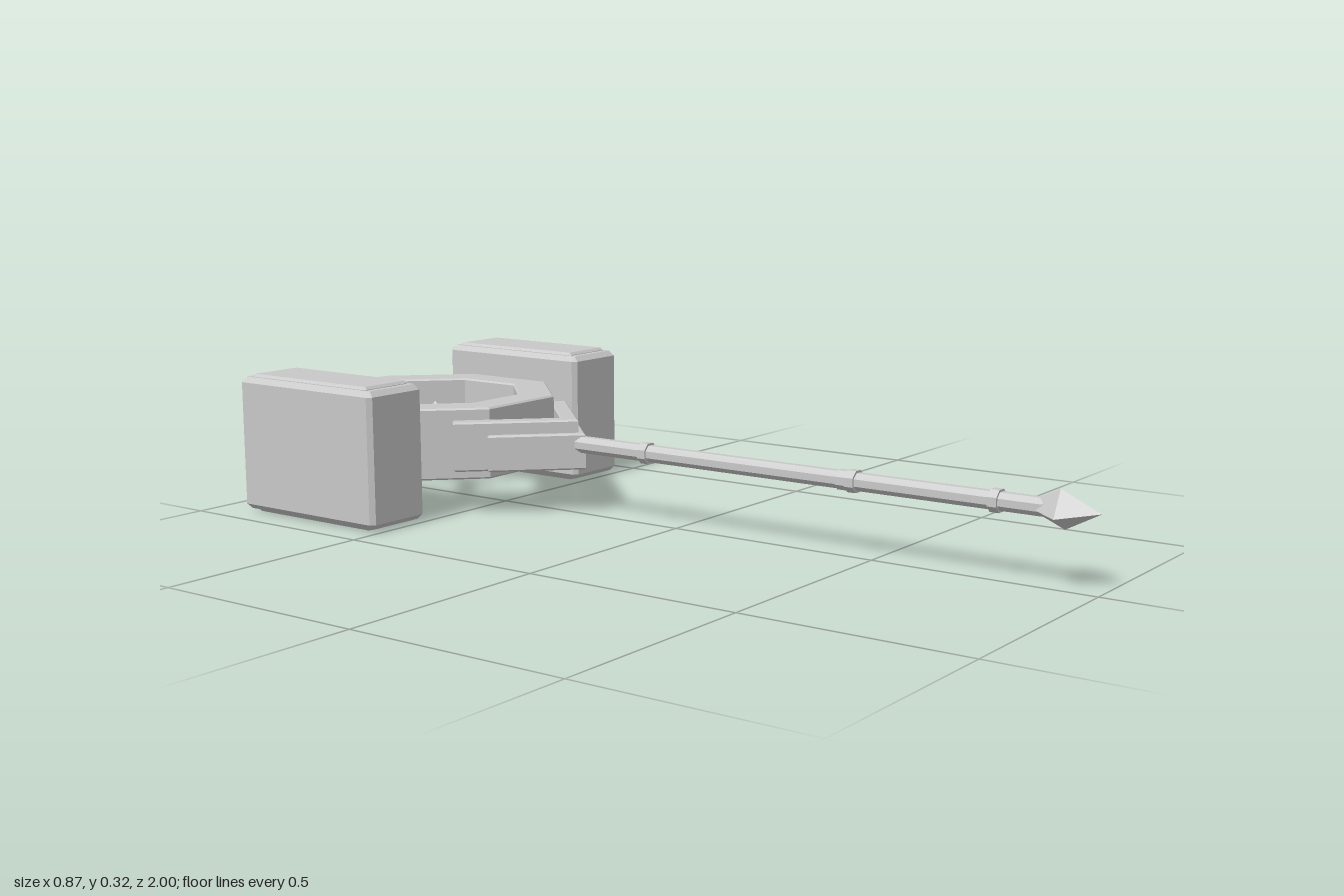
import * as THREE from 'three';

const AXIS_Y = 0.162;
const RING_Z = -0.722;

// Plan outline of [x, z] points, extruded from y0 to y1 with chamfered rims
function slab(points, y0, y1, bevel = 0.004, hole = null) {
  const toPath = (pts) => pts.map(([x, z]) => new THREE.Vector2(x, -z)).reverse();
  const shape = new THREE.Shape(toPath(points));
  if (hole) shape.holes.push(new THREE.Path(toPath(hole)));
  const g = new THREE.ExtrudeGeometry(shape, {
    depth: y1 - y0 - 2 * bevel, bevelEnabled: true, bevelSegments: 1,
    bevelSize: bevel, bevelThickness: bevel, bevelOffset: -bevel,
  });
  return g.rotateX(-Math.PI / 2).translate(0, y0 + bevel, 0);
}

// Octagon with flat sides on the axes
function octagon(apothem, zc) {
  const r = apothem / Math.cos(Math.PI / 8);
  return Array.from({ length: 8 }, (_, i) => {
    const a = Math.PI / 8 + i * Math.PI / 4;
    return [r * Math.cos(a), zc + r * Math.sin(a)];
  });
}

// Rectangle with cut corners
function cutRect(w, d, c, zc) {
  const x = w / 2, z = d / 2;
  return [[x - c, z], [x, z - c], [x, c - z], [x - c, -z], [c - x, -z], [-x, c - z], [-x, z - c], [c - x, z]]
    .map(([px, pz]) => [px, pz + zc]);
}

// Chevron with its point facing +z and 45 degree arms
function chevron(apex, halfWidth, thickness) {
  const t = thickness * Math.SQRT2, e = t / 2;
  return [
    [0, apex], [halfWidth, apex - halfWidth], [halfWidth - e, apex - halfWidth - e],
    [0, apex - t], [e - halfWidth, apex - halfWidth - e], [-halfWidth, apex - halfWidth],
  ];
}

export function createModel() {
  const model = new THREE.Group();
  model.name = 'warHammer';
  const steel = new THREE.MeshStandardMaterial({ color: 0xc8c8c8, flatShading: true });
  steel.name = 'grey steel';

  const add = (name, geometry, parent = model) => {
    const mesh = new THREE.Mesh(geometry, steel);
    mesh.name = name;
    parent.add(mesh);
    return mesh;
  };
  // Eight-sided rod along z between two depths, flat side up
  const rod = (name, z0, z1, radius) =>
    add(name, new THREE.CylinderGeometry(radius, radius, z1 - z0, 8)
      .rotateY(Math.PI / 8).rotateX(Math.PI / 2).translate(0, AXIS_Y, (z0 + z1) / 2));

  // Hammer heads with raised end plates
  for (const side of [-1, 1]) {
    const head = new THREE.Group();
    head.name = side > 0 ? 'leftHead' : 'rightHead';
    head.position.x = side * 0.3535;
    model.add(head);
    add('headBlock', slab(cutRect(0.167, 0.417, 0.01, -0.7125), 0.006, 0.314, 0.012), head);
    add('headPlates', slab(cutRect(0.137, 0.362, 0.006, -0.7125), 0, 0.321, 0.006), head);
  }

  // Octagonal ring
  add('ring', slab(octagon(0.278, RING_Z), 0.079, 0.245, 0.004, octagon(0.196, RING_Z)));

  // Three spokes meeting at the central stud
  for (let i = 0; i < 3; i++) {
    const spoke = add('spoke', new THREE.BoxGeometry(0.022, 0.05, 0.2).translate(0, 0, -0.1));
    spoke.position.set(0, AXIS_Y, RING_Z);
    spoke.rotation.y = i * Math.PI * 2 / 3;
  }
  add('centreStud', new THREE.OctahedronGeometry(1).scale(0.052, 0.058, 0.068).translate(0, AXIS_Y, RING_Z));

  // Chevron bracket, two layers
  add('outerChevron', slab(chevron(-0.255, 0.158, 0.025), 0.104, 0.188));
  add('innerChevron', slab(chevron(-0.275, 0.202, 0.038), 0.104, 0.218));

  // Shaft, collar and bands
  rod('collar', -0.455, -0.335, 0.04);
  rod('shaft', -0.34, 0.885, 0.02);
  for (const z of [-0.08, 0.455, 0.78]) rod('shaftBand', z - 0.01, z + 0.01, 0.025);
  rod('shaftStep', 0.42, 0.455, 0.022);

  // Four-sided pommel spike, slightly twisted
  const profile = [[0, 0.872], [0.02, 0.872], [0.045, 0.92], [0, 1]]
    .map(([r, z]) => new THREE.Vector2(r, z));
  add('pommelSpike', new THREE.LatheGeometry(profile, 4)
    .rotateX(Math.PI / 2).rotateZ(THREE.MathUtils.degToRad(17)).translate(0, AXIS_Y, 0));

  return model;
}
